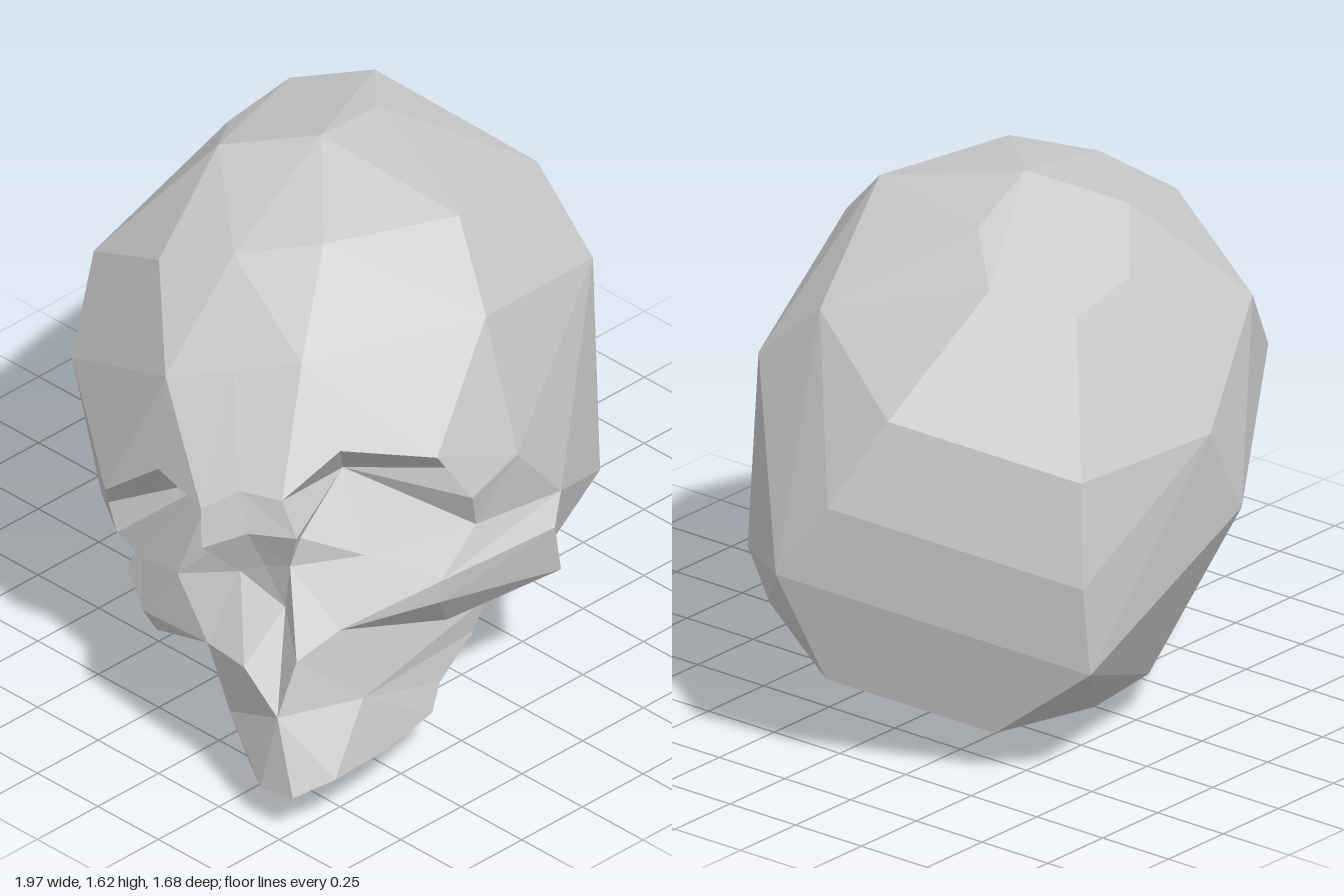
import * as THREE from 'three';
import { ConvexGeometry } from 'three/addons/geometries/ConvexGeometry.js';

const V = (x, y, z) => new THREE.Vector3(x, y, z);

// The head is turned and tilted: its own left, up and forward axes
const LEFT = V(0.49, 0.265, 0.83).normalize();
const FORWARD = V(-0.86, 0, 0.51).normalize();
const UP = V(-0.135, 0.964, -0.228).normalize();
const MID = 0.205; // offset of the symmetry plane along LEFT
const CENTRE = V(0.1, 0.8, -0.05);

const side = (p) => p.dot(LEFT) - MID;
const mirror = (p) => p.clone().addScaledVector(LEFT, -2 * side(p));
const toMid = (p) => p.clone().addScaledVector(LEFT, -side(p));

// Landmarks of the left half of the braincase
const skull = {
  foreheadTop: V(-0.5, 1.49, 0.06),
  crownFront: V(-0.33, 1.54, 0.26),
  crown: V(-0.01, 1.62, -0.07),
  crownRear: V(0.29, 1.55, -0.14),
  crownBack: V(0.5, 1.48, -0.36),
  forehead: V(-0.59, 1.32, 0.43),
  upperFront: V(0.09, 1.51, 0.4),
  upperSide: V(0.65, 1.33, 0.16),
  upperBack: V(0.83, 1.14, -0.25),
  templeTop: V(-0.02, 1.31, 0.62),
  wideSide: V(0.63, 1.12, 0.41),
  back: V(0.95, 0.87, -0.12),
  temple: V(-0.03, 0.9, 0.76),
  earTop: V(0.56, 0.8, 0.48),
  lowerBack: V(1, 0.635, 0.035),
  archRear: V(0.2, 0.645, 0.71),
  earBase: V(0.56, 0.46, 0.51),
  baseSide: V(0.64, 0.345, 0.36),
  baseBack: V(0.85, 0.275, -0.03),
  baseInner: V(-0.02, 0.47, 0.56),
};

// Landmarks of the left half of the face
const f = {
  ...skull,
  foreheadMid: toMid(skull.forehead),
  glabella: toMid(V(-0.84, 0.99, 0.426)),
  noseRoot: toMid(V(-0.86, 0.87, 0.47)),
  noseTip: toMid(V(-0.79, 0.735, 0.48)),
  noseBase: toMid(V(-0.945, 0.37, 0.69)),
  noseDeep: toMid(V(-0.72, 0.56, 0.49)),
  noseSide: V(-0.755, 0.745, 0.548),
  noseEdge: V(-0.87, 0.53, 0.69),
  browIn: V(-0.79, 0.99, 0.55),
  browTop: V(-0.59, 1.09, 0.59),
  browOut: V(-0.35, 1.03, 0.75),
  rimOut: V(-0.24, 0.95, 0.76),
  rimLow: V(-0.24, 0.855, 0.785),
  rimFloorOut: V(-0.2, 0.735, 0.76),
  rimFloor: V(-0.6, 0.785, 0.705),
  rimInLow: V(-0.73, 0.84, 0.565),
  rimIn: V(-0.79, 0.885, 0.61),
  socketDeep: V(-0.45, 0.91, 0.46),
  cheekRoot: V(-0.74, 0.605, 0.74),
  cheekLow: V(-0.43, 0.605, 0.84),
  cheekTop: V(-0.43, 0.68, 0.845),
  cheekUnder: V(-0.29, 0.43, 0.73),
  archFront: V(0.075, 0.62, 0.81),
  archLow: V(0.13, 0.435, 0.78),
  archEnd: V(0.26, 0.41, 0.62),
  baseFront: V(0, 0.31, 0.6),
  jaw: V(-0.695, 0.37, 0.79),
  gum0: toMid(V(-0.97, 0.14, 0.775)),
  gum1: V(-0.855, 0.18, 0.835),
  gum2: V(-0.63, 0.175, 0.82),
  gum3: V(-0.36, 0.143, 0.74),
  gum4: V(-0.28, 0.19, 0.69),
  gum5: V(-0.06, 0.23, 0.61),
  baseRear: toMid(skull.baseBack),
};

// Polygons on both halves, each triangle turned away from the head's centre
function facetMesh(name, polygons) {
  const pos = [];
  const add = (a, b, c) => {
    const normal = b.clone().sub(a).cross(c.clone().sub(a));
    const out = a.clone().add(b).add(c).divideScalar(3).sub(CENTRE);
    const tri = normal.dot(out) < 0 ? [a, c, b] : [a, b, c];
    tri.forEach((p) => pos.push(p.x, p.y, p.z));
  };
  for (const poly of polygons) {
    for (let i = 1; i < poly.length - 1; i++) {
      const tri = [poly[0], poly[i], poly[i + 1]];
      add(...tri);
      add(...tri.map(mirror));
    }
  }
  return finish(name, pos);
}

function finish(name, positions) {
  const geometry = new THREE.BufferGeometry();
  geometry.setAttribute('position', new THREE.Float32BufferAttribute(positions, 3));
  geometry.computeVertexNormals();
  const mesh = new THREE.Mesh(geometry, new THREE.MeshStandardMaterial({
    color: 0xcccccc, flatShading: true, side: THREE.DoubleSide,
  }));
  mesh.name = name;
  return mesh;
}

// Faceted braincase, left open below between the points of its lower rim
function braincase() {
  const half = Object.values(skull);
  const hull = new ConvexGeometry([...half, ...half.filter((p) => side(p) > 0.03).map(mirror)]);
  const rim = [skull.earBase, skull.baseSide, skull.baseBack, skull.baseInner];
  const onRim = (p) => rim.some((q) => Math.min(q.distanceTo(p), mirror(q).distanceTo(p)) < 0.001);
  const source = hull.getAttribute('position');
  const pos = [];
  for (let i = 0; i < source.count; i += 3) {
    const tri = [0, 1, 2].map((k) => V().fromBufferAttribute(source, i + k));
    if (!tri.every(onRim)) tri.forEach((p) => pos.push(p.x, p.y, p.z));
  }
  return finish('braincase', pos);
}

// Look landmarks up from space-separated names
const polys = (...rows) => rows.map((row) => row.split(' ').map((k) => f[k]));

export function createModel() {
  const group = new THREE.Group();
  group.name = 'skull';
  group.add(braincase());

  // Forehead, brow ridge and outer eye rim
  group.add(facetMesh('brow', polys(
    'foreheadTop forehead foreheadMid',
    'foreheadMid forehead browIn glabella',
    'forehead browTop browIn',
    'forehead templeTop browOut browTop',
    'browOut templeTop temple',
    'browOut temple rimLow rimOut',
    'rimLow temple rimFloorOut',
    'rimFloorOut temple archRear',
  )));

  // Bridge of the nose
  group.add(facetMesh('noseBridge', polys(
    'glabella browIn rimIn noseRoot',
    'noseRoot rimIn noseSide noseTip',
  )));

  // Eye sockets: the rim runs back to a deep point
  const rim = [f.browIn, f.browTop, f.browOut, f.rimOut, f.rimLow, f.rimFloorOut, f.rimFloor, f.rimInLow, f.rimIn];
  group.add(facetMesh('eyeSockets', rim.map((p, i) => [p, rim[(i + 1) % rim.length], f.socketDeep])));

  // Nasal opening
  group.add(facetMesh('nasalOpening', polys(
    'noseTip noseSide noseDeep',
    'noseSide noseEdge noseDeep',
    'noseEdge noseBase noseDeep',
  )));

  // Cheekbones and the arches back to the ears
  group.add(facetMesh('cheekbones', polys(
    'noseSide rimIn rimInLow rimFloor',
    'noseSide rimFloor cheekRoot noseEdge',
    'cheekRoot rimFloor cheekTop',
    'cheekRoot cheekTop cheekLow',
    'rimFloor rimFloorOut cheekTop',
    'cheekTop rimFloorOut archRear',
    'cheekTop archRear archFront',
    'cheekTop archFront cheekLow',
    'cheekLow archFront archLow cheekUnder',
    'archFront archRear archEnd archLow',
    'archRear earBase archEnd',
    'cheekRoot cheekLow cheekUnder',
    'cheekRoot cheekUnder baseFront',
    'cheekUnder archLow baseFront',
    'archLow archEnd baseFront',
    'archEnd earBase baseFront',
  )));

  // Upper jaw
  group.add(facetMesh('upperJaw', polys(
    'noseEdge cheekRoot jaw noseBase',
    'noseBase jaw gum1 gum0',
    'jaw gum2 gum1',
    'jaw gum3 gum2',
    'jaw gum4 gum3',
    'jaw gum5 gum4',
    'jaw baseFront gum5',
    'jaw cheekRoot baseFront',
  )));

  // Underside: an inner wall behind the gums and rim, around one flat recessed floor
  // that drops towards the front
  const [edge] = polys('gum0 gum1 gum2 gum3 gum4 gum5 baseFront earBase baseSide baseBack baseRear');
  const inner = edge.map((p) => {
    const ahead = p.dot(FORWARD);
    return p.clone()
      .addScaledVector(LEFT, side(p) > 0.03 ? -0.05 : 0)
      .addScaledVector(FORWARD, -0.08 * ahead)
      .addScaledVector(UP, 0.28 - 0.12 * ahead - p.dot(UP));
  });
  const walls = [];
  const floor = [];
  for (let i = 0; i < edge.length - 1; i++) {
    walls.push([edge[i], edge[i + 1], inner[i + 1], inner[i]]);
    floor.push([inner[i], inner[i + 1], toMid(inner[i + 1]), toMid(inner[i])]);
  }
  group.add(facetMesh('innerWall', walls), facetMesh('skullFloor', floor));

  return group;
}
